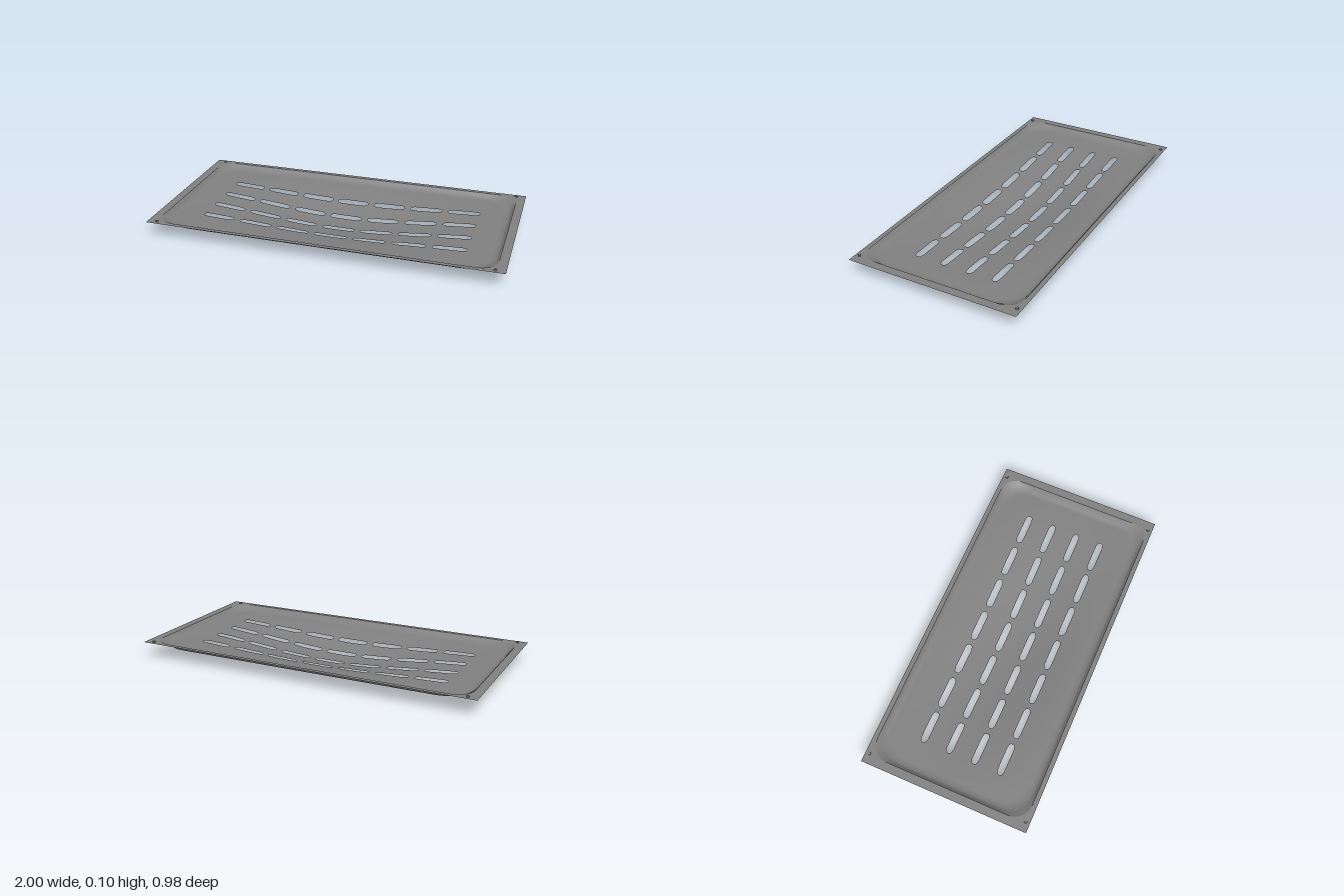
import * as THREE from 'three';
import { mergeVertices } from 'three/addons/utils/BufferGeometryUtils.js';

const RIM_Y = 0.095, FLOOR_Y = 0.065;
const COLS = 7, ROWS = 4, PITCH_X = 0.224, PITCH_Z = 0.154, SEG = 8;

// Height of the sagging floor
const bell = (t, half) => (1 + Math.cos(Math.PI * Math.min(1, Math.abs(t) / half))) / 2;
const floorY = (x, z) => FLOOR_Y - 0.065 * bell(x, 0.98) * bell(z, 0.46);

// Points around the unit square, nx per long side and nz per short side
function unitLoop(nx, nz) {
  const pts = [];
  const side = (ax, az, bx, bz, n) => {
    for (let i = 0; i < n; i++) pts.push([ax + (bx - ax) * i / n, az + (bz - az) * i / n]);
  };
  side(-1, -1, 1, -1, nx);
  side(1, -1, 1, 1, nz);
  side(1, 1, -1, 1, nx);
  side(-1, 1, -1, -1, nz);
  return pts;
}

// Fit a unit loop to a rounded rectangle
function fitLoop(unit, hx, hz, r, cx = 0, cz = 0) {
  return unit.map(([u, v]) => {
    const x = u * hx, z = v * hz;
    const kx = THREE.MathUtils.clamp(x, r - hx, hx - r);
    const kz = THREE.MathUtils.clamp(z, r - hz, hz - r);
    const d = Math.hypot(x - kx, z - kz);
    const s = d > 1e-9 ? r / d : 0;
    return [cx + kx + (x - kx) * s, cz + kz + (z - kz) * s];
  });
}

// Bridge two loops in steps; heightAt(x, z, t) sets y
function loft(out, inner, outer, steps, heightAt) {
  const n = inner.length;
  const point = (i, s) => {
    const t = s / steps, a = inner[i % n], b = outer[i % n];
    const x = a[0] + (b[0] - a[0]) * t, z = a[1] + (b[1] - a[1]) * t;
    return [x, heightAt(x, z, t), z];
  };
  for (let s = 0; s < steps; s++) {
    for (let i = 0; i < n; i++) {
      const a0 = point(i, s), a1 = point(i + 1, s), b0 = point(i, s + 1), b1 = point(i + 1, s + 1);
      out.push(...a0, ...a1, ...b0, ...a1, ...b1, ...b0);
    }
  }
}

function sheetGeometry(positions) {
  const raw = new THREE.BufferGeometry();
  raw.setAttribute('position', new THREE.Float32BufferAttribute(positions, 3));
  const geometry = mergeVertices(raw, 1e-4);
  geometry.computeVertexNormals();
  return geometry;
}

export function createModel() {
  const group = new THREE.Group();
  group.name = 'ventedPanel';
  const steel = new THREE.MeshStandardMaterial({ color: 0x808080, side: THREE.DoubleSide });
  steel.name = 'grey steel';
  const add = (name, geometry) => {
    const mesh = new THREE.Mesh(geometry, steel);
    mesh.name = name;
    group.add(mesh);
    return mesh;
  };

  // Slotted floor: one ring of sheet around each slot
  const basin = [];
  const cell = unitLoop(SEG, SEG);
  for (let c = 0; c < COLS; c++) {
    for (let r = 0; r < ROWS; r++) {
      const cx = (c - (COLS - 1) / 2) * PITCH_X, cz = (r - (ROWS - 1) / 2) * PITCH_Z;
      const slot = fitLoop(cell, 0.093, 0.0185, 0.0185, cx, cz);
      const edge = cell.map(([u, v]) => [cx + u * PITCH_X / 2, cz + v * PITCH_Z / 2]);
      loft(basin, slot, edge, 2, floorY);
    }
  }

  // Plain floor border, then the sloping wall up to the rim
  const ring = unitLoop(COLS * SEG, ROWS * SEG);
  const field = ring.map(([u, v]) => [u * COLS * PITCH_X / 2, v * ROWS * PITCH_Z / 2]);
  const wallFoot = fitLoop(ring, 0.925, 0.44, 0.16);
  const wallTop = fitLoop(ring, 0.952, 0.464, 0.1);
  loft(basin, field, wallFoot, 5, floorY);
  loft(basin, wallFoot, wallTop, 2, (x, z, t) => THREE.MathUtils.lerp(floorY(x, z), RIM_Y, t));
  add('slottedBasin', sheetGeometry(basin));

  // Flat outer flange
  const flange = [];
  loft(flange, wallTop, ring.map(([u, v]) => [u, v * 0.49]), 1, () => RIM_Y);
  add('flange', sheetGeometry(flange));

  // Small fasteners at the corners
  const stud = new THREE.CylinderGeometry(0.008, 0.009, 0.008, 12);
  for (const sx of [-1, 1]) {
    for (const sz of [-1, 1]) {
      add('cornerStud', stud).position.set(sx * 0.945, RIM_Y + 0.003, sz * 0.465);
    }
  }
  return group;
}
